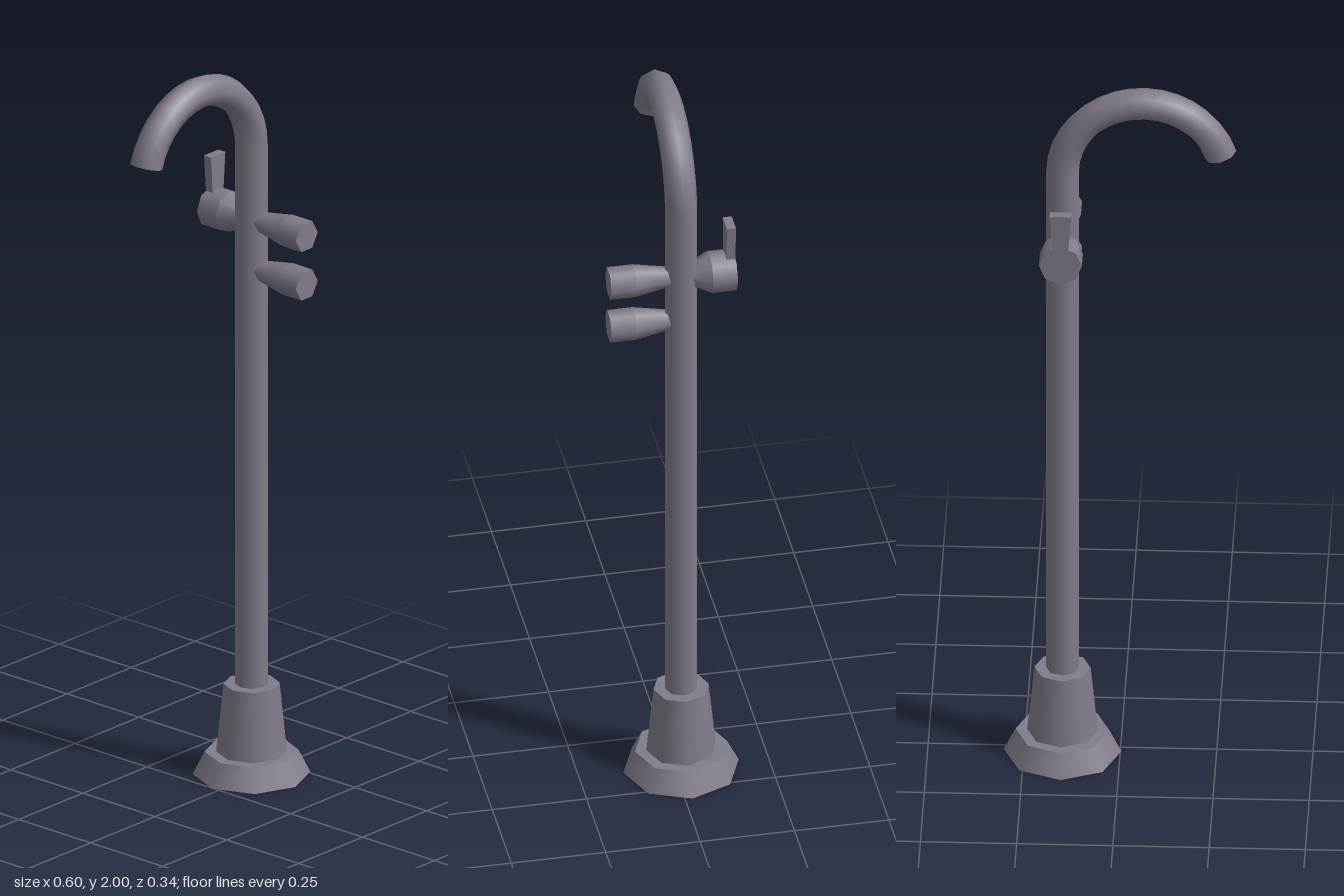
import * as THREE from 'three';

const POST_RADIUS = 0.0425;
const ARC_RADIUS = 0.21;
const ARC_Y = 1.7475;
const ARC_ANGLE = THREE.MathUtils.degToRad(163);

export function createModel() {
  const metal = new THREE.MeshStandardMaterial({ color: 0x827c8a });
  metal.name = 'brushed metal';

  const model = new THREE.Group();
  model.name = 'standingFaucet';

  // Everything hangs off the post axis
  const body = new THREE.Group();
  body.name = 'body';
  body.position.set(0.15, 0, -0.02);
  model.add(body);

  const add = (name, geometry, parent = body) => {
    const mesh = new THREE.Mesh(geometry, metal);
    mesh.name = name;
    parent.add(mesh);
    return mesh;
  };

  // Upright tapered section from y0 to y1
  const upright = (name, r0, r1, y0, y1) =>
    add(name, new THREE.CylinderGeometry(r1, r0, y1 - y0, 8).translate(0, (y0 + y1) / 2, 0));

  // Horizontal tapered section along z, with a corner on each side
  const horizontal = (name, r0, r1, z0, z1, y, sides) =>
    add(name, new THREE.CylinderGeometry(r1, r0, z1 - z0, sides, 1, false, Math.PI / 2)
      .rotateX(Math.PI / 2).translate(0, y, (z0 + z1) / 2));

  // Foot, collar and post
  upright('footFlange', 0.153, 0.122, 0, 0.062);
  upright('collar', 0.092, 0.073, 0.062, 0.25);
  upright('post', POST_RADIUS, POST_RADIUS, 0.24, ARC_Y);

  // Curved spout with a closed tip
  const spout = new THREE.Group();
  spout.name = 'spout';
  spout.position.set(-ARC_RADIUS, ARC_Y, 0);
  body.add(spout);
  add('spoutArc', new THREE.TorusGeometry(ARC_RADIUS, POST_RADIUS, 8, 16, ARC_ANGLE), spout);
  add('spoutTip', new THREE.CircleGeometry(POST_RADIUS, 8)
    .rotateX(-Math.PI / 2).translate(ARC_RADIUS, 0, 0).rotateZ(ARC_ANGLE), spout);

  // Two front knobs, each a narrow neck flaring into a grip
  for (const [name, y] of [['upperKnob', 1.545], ['lowerKnob', 1.41]]) {
    horizontal(name + 'Neck', 0.026, 0.043, 0.03, 0.125, y, 6);
    horizontal(name + 'Grip', 0.043, 0.043, 0.125, 0.192, y, 6);
  }

  // Rear valve
  horizontal('valveNeck', 0.056, 0.018, -0.075, 0, 1.545, 8);
  horizontal('valveBody', 0.056, 0.056, -0.14, -0.075, 1.545, 8);

  // Lever, slightly wider at the top
  const lever = new THREE.Shape([
    new THREE.Vector2(-0.02, 1.58), new THREE.Vector2(0.02, 1.58),
    new THREE.Vector2(0.028, 1.693), new THREE.Vector2(-0.028, 1.693),
  ]);
  add('lever', new THREE.ExtrudeGeometry(lever, { depth: 0.024, bevelEnabled: false })
    .translate(0, 0, -0.14));

  return model;
}
